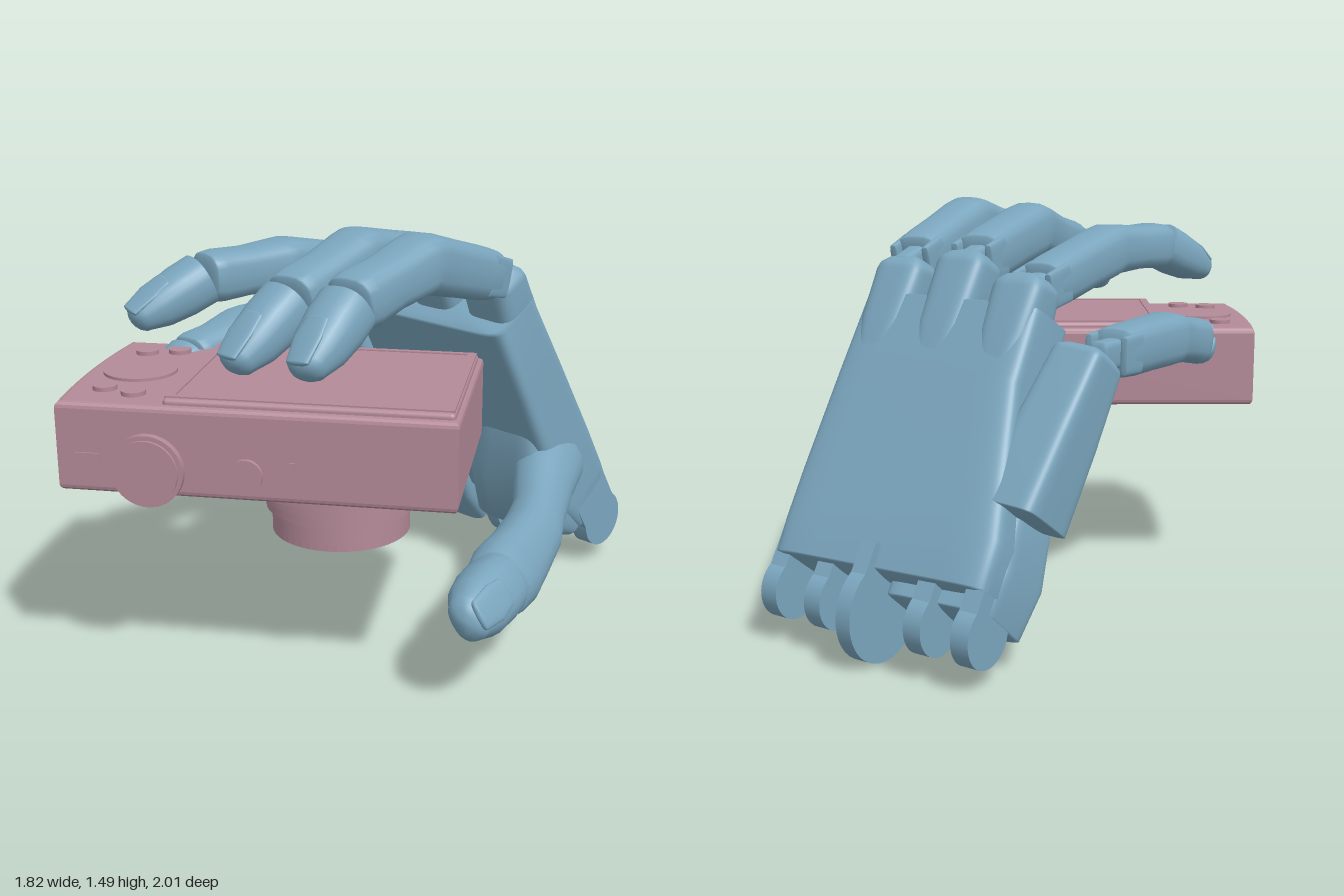
import * as THREE from 'three';
import { RoundedBoxGeometry } from 'three/addons/geometries/RoundedBoxGeometry.js';

const V = (x, y, z) => new THREE.Vector3(x, y, z);
const skin = new THREE.MeshStandardMaterial({ color: 0x7ba6be });
const pink = new THREE.MeshStandardMaterial({ color: 0xb48a98 });

// Hand frame: w runs across the palm to the thumb side, u to the fingers, p out of the palm
const w = V(0.82, 0, 0.57).normalize();
const u = V(-0.32, 0.85, 0.42);
u.addScaledVector(w, -u.dot(w)).normalize();
const p = w.clone().cross(u);

function add(parent, name, geo, mat, x = 0, y = 0, z = 0) {
  const mesh = new THREE.Mesh(geo, mat);
  mesh.name = name;
  mesh.position.set(x, y, z);
  parent.add(mesh);
  return mesh;
}

// Skin through superellipse sections [centre, halfWidth, halfHeight], with rounded ends
function loft(stations, sideRef, { power = 2.6, sides = 24, cap = [0.3, 0.3] } = {}) {
  const n = stations.length;
  const tangentAt = (i) => stations[Math.min(n - 1, i + 1)][0].clone()
    .sub(stations[Math.max(0, i - 1)][0]).normalize();
  const rings = stations.map(([c, a, b], i) => ({ c, a, b, t: tangentAt(i) }));
  const round = (r, sign, len) => [0.35, 0.7, 0.9, 0.99].map((s) => {
    const k = Math.sqrt(1 - s * s), d = sign * s * len * Math.min(r.a, r.b);
    return { c: r.c.clone().addScaledVector(r.t, d), a: r.a * k, b: r.b * k, t: r.t };
  });
  const all = [...round(rings[0], -1, cap[0]).reverse(), ...rings, ...round(rings[n - 1], 1, cap[1])];
  const pos = [], idx = [];
  const bend = (v) => Math.sign(v) * Math.abs(v) ** (2 / power);
  for (const { c, a, b, t } of all) {
    const side = sideRef.clone().addScaledVector(t, -sideRef.dot(t)).normalize();
    const up = side.clone().cross(t);
    for (let j = 0; j < sides; j++) {
      const q = (j / sides) * Math.PI * 2;
      const v = c.clone().addScaledVector(side, a * bend(Math.cos(q))).addScaledVector(up, b * bend(Math.sin(q)));
      pos.push(v.x, v.y, v.z);
    }
  }
  const last = (all.length - 1) * sides, c0 = all.length * sides;
  pos.push(...all[0].c.toArray(), ...all[all.length - 1].c.toArray());
  for (let j = 0; j < sides; j++) {
    const k = (j + 1) % sides;
    for (let i = 0; i < last; i += sides) {
      idx.push(i + j, i + sides + j, i + k, i + k, i + sides + j, i + sides + k);
    }
    idx.push(c0, j, k, c0 + 1, last + k, last + j);
  }
  const geo = new THREE.BufferGeometry();
  geo.setAttribute('position', new THREE.Float32BufferAttribute(pos, 3));
  geo.setIndex(idx);
  geo.computeVertexNormals();
  return geo;
}

// Fingertip with its nail on the upper side
function fingertip(parent, from, to, r, side) {
  const at = (k) => from.clone().lerp(to, k);
  add(parent, 'fingertip', loft([[at(0.04), r * 0.95, r * 0.95], [at(0.35), r * 0.97, r * 0.92],
    [at(0.7), r * 0.9, r * 0.78], [at(0.95), r * 0.7, r * 0.54]], side, { power: 2.4, cap: [0.15, 0.8] }), skin);
  const t = to.clone().sub(from).normalize();
  const up = side.clone().addScaledVector(t, -side.dot(t)).normalize().cross(t);
  const nail = (k, lift, a) => [at(k).addScaledVector(up, r * lift), r * a, r * 0.12];
  add(parent, 'nail', loft([nail(0.5, 0.77, 0.45), nail(0.75, 0.65, 0.55), nail(1.05, 0.42, 0.45)], side,
    { power: 2.3, cap: [1, 0.8] }), skin);
}

function finger(parent, name, K, P, D, T, r) {
  const g = new THREE.Group();
  g.name = name;
  parent.add(g);
  const side = w.clone().negate();
  const kp = (k) => K.clone().lerp(P, k), pd = (k) => P.clone().lerp(D, k);
  // Narrow tongue and two cheeks at the knuckle
  add(g, 'knuckleTongue', loft([[kp(-0.1), r * 0.4, r * 0.55], [kp(0.25), r * 0.4, r * 0.55]], side, { power: 4 }), skin);
  for (const s of [-1, 1]) {
    const off = (k) => kp(k).addScaledVector(w, s * r * 0.74);
    add(g, 'knuckleCheek', loft([[off(0.02), r * 0.15, r * 0.7], [off(0.25), r * 0.18, r * 0.75]], side, { power: 4 }), skin);
  }
  add(g, 'phalanges', loft([[kp(0.14), r * 0.92, r * 0.9], [kp(0.3), r * 0.95, r * 0.96], [kp(0.6), r * 0.94, r * 0.98],
    [kp(0.92), r, r * 1.02], [P, r, r], [pd(0.08), r, r * 0.98],
    [pd(0.5), r * 0.92, r * 0.88], [pd(0.85), r * 0.97, r * 0.93], [pd(0.97), r * 0.92, r * 0.88]],
  side, { power: 3, sides: 20, cap: [0.2, 0.2] }), skin);
  fingertip(g, D, T, r, side);
}

function buildPalm(hand) {
  const g = new THREE.Group();
  g.name = 'palm';
  g.position.set(0.5, 0.2, -0.7);
  g.quaternion.setFromRotationMatrix(new THREE.Matrix4().makeBasis(w, u, p));
  hand.add(g);
  // Rows are [y, left, right, back, front] in the hand frame
  const section = ([y, x0, x1, z0, z1]) => [V((x0 + x1) / 2, y, (z0 + z1) / 2), (x1 - x0) / 2, (z1 - z0) / 2];
  const block = (name, rows, cap, power = 9) => add(g, name,
    loft(rows.map(section), V(-1, 0, 0), { power, sides: 64, cap }), skin);
  block('palmBody', [[0.1, -0.44, 0.45, -0.09, 0.18], [0.25, -0.44, 0.46, -0.095, 0.22],
    [0.45, -0.4, 0.46, -0.1, 0.2], [0.8, -0.32, 0.45, -0.1, 0.17], [1.09, -0.31, 0.44, -0.1, 0.15]], [0.1, 0.15]);
  block('littleFingerMetacarpal', [[0.4, -0.53, -0.3, -0.09, 0.19], [0.7, -0.545, -0.32, -0.06, 0.19],
    [0.97, -0.56, -0.36, -0.03, 0.17]], [0.1, 0.5], 6);
  // Knuckle lobes of the three longer fingers
  for (const [x, y] of [[0.33, 1.19], [0.07, 1.23], [-0.2, 1.16]]) {
    block('knuckleLobe', [[0.8, x - 0.06, x + 0.06, -0.09, 0.1], [1.0, x - 0.1, x + 0.1, -0.11, 0.1],
      [y, x - 0.105, x + 0.105, -0.115, 0.06]], [0.1, 0.8], 4);
  }
  // Thumb mount and heel on the two sides of the wrist
  block('thumbMount', [[0.1, 0.08, 0.44, 0, 0.22], [0.25, 0.08, 0.45, 0, 0.335], [0.4, 0.1, 0.45, 0, 0.3],
    [0.6, 0.16, 0.42, 0, 0.18]], [0.2, 0.2], 5);
  block('palmHeel', [[0.04, -0.44, -0.02, -0.02, 0.25], [0.2, -0.45, 0, 0, 0.28], [0.4, -0.43, 0, 0, 0.25],
    [0.6, -0.36, -0.05, 0, 0.17]], [0.1, 0.3], 8);
  // Wrist lugs and the central hinge disc
  const lug = (name, x, r, width) => {
    add(g, name, new THREE.CylinderGeometry(r, r, width, 40), skin, x, 0, 0.04).rotation.z = Math.PI / 2;
    add(g, name + 'Root', new THREE.BoxGeometry(width, 0.18, r * 1.8), skin, x, 0.1, 0.04);
  };
  for (const x of [-0.4, -0.21, 0.22, 0.42]) lug('wristLug', x, 0.11, 0.07);
  lug('wristDisc', 0.02, 0.18, 0.06);
}

function buildThumb(hand) {
  const g = new THREE.Group();
  g.name = 'thumb';
  hand.add(g);
  const side = V(-0.5, 0.8, 0);
  add(g, 'thumbPhalanges', loft([[V(0.62, 0.46, -0.36), 0.14, 0.13], [V(0.63, 0.475, -0.24), 0.145, 0.13],
    [V(0.625, 0.435, -0.08), 0.12, 0.1], [V(0.62, 0.395, 0.1), 0.1, 0.09], [V(0.605, 0.37, 0.24), 0.11, 0.1],
    [V(0.57, 0.35, 0.4), 0.12, 0.1], [V(0.535, 0.345, 0.55), 0.13, 0.11], [V(0.52, 0.345, 0.63), 0.12, 0.105]],
  side, { power: 2.3, cap: [0.6, 0.2] }), skin);
  fingertip(g, V(0.51, 0.35, 0.65), V(0.45, 0.355, 0.92), 0.115, side);
}

function buildCamera(parent) {
  const g = new THREE.Group();
  g.name = 'compactCamera';
  parent.add(g);
  const disc = (name, x, y, z, r, h) => add(g, name, new THREE.CylinderGeometry(r, r, h, 48), pink, x, y, z);
  const box = (name, sx, sy, sz, x, y, z) => add(g, name, new THREE.BoxGeometry(sx, sy, sz), pink, x, y, z);
  const rect = (a, b, Type) => new Type([[-a, -b], [a, -b], [a, b], [-a, b]].map((q) => new THREE.Vector2(...q)));
  // Body with a bowed end
  const s = new THREE.Shape();
  s.moveTo(-0.865, -0.19);
  s.quadraticCurveTo(-0.905, -0.54, -0.865, -0.89);
  s.lineTo(0.39, -0.89);
  s.lineTo(0.39, -0.19);
  const body = new THREE.ExtrudeGeometry(s, { depth: 0.26, bevelSize: 0.02, bevelThickness: 0.02, bevelSegments: 3, curveSegments: 16 });
  add(g, 'body', body.rotateX(-Math.PI / 2), pink, 0, 0.72, 0);
  // Screen with a raised frame
  add(g, 'screenPanel', new RoundedBoxGeometry(0.93, 0.05, 0.69, 3, 0.015), pink, -0.07, 0.995, 0.54);
  const frame = rect(0.46, 0.33, THREE.Shape);
  frame.holes.push(rect(0.43, 0.31, THREE.Path));
  add(g, 'screenFrame', new THREE.ExtrudeGeometry(frame, { depth: 0.013, bevelEnabled: false }).rotateX(-Math.PI / 2), pink, -0.07, 1.012, 0.54);
  // Controls beside the screen
  disc('controlWheel', -0.72, 1, 0.54, 0.125, 0.02);
  for (const [x, z] of [[-0.77, 0.32], [-0.66, 0.29], [-0.77, 0.75], [-0.66, 0.79]]) disc('button', x, 1.002, z, 0.04, 0.025);
  // Front edge dial, button and slots
  disc('modeDial', -0.58, 0.79, 0.915, 0.12, 0.04).rotation.x = Math.PI / 2;
  disc('modeDialCap', -0.58, 0.79, 0.92, 0.105, 0.05).rotation.x = Math.PI / 2;
  disc('shutterButton', -0.26, 0.79, 0.91, 0.054, 0.03).rotation.x = Math.PI / 2;
  box('slot', 0.08, 0.03, 0.01, -0.78, 0.82, 0.91);
  box('slot', 0.02, 0.04, 0.01, -0.11, 0.82, 0.91);
  box('foot', 0.04, 0.03, 0.1, -0.44, 0.695, 0.6);
  box('hatch', 0.26, 0.02, 0.4, 0.22, 0.695, 0.54);
  // Stepped lens barrel
  [[0.32, 0.7, 0.665], [0.275, 0.68, 0.62], [0.255, 0.63, 0.575], [0.235, 0.6, 0.51]].forEach(([r, top, low]) =>
    disc('lensTier', -0.03, (top + low) / 2, 0.54, r, top - low));
  const rim = new THREE.Shape().absarc(0, 0, 0.235, 0, Math.PI * 2);
  rim.holes.push(rect(0.08, 0.06, THREE.Path));
  add(g, 'lensRim', new THREE.ExtrudeGeometry(rim, { depth: 0.025, bevelEnabled: false, curveSegments: 24 }).rotateX(-Math.PI / 2), pink, -0.03, 0.487, 0.54);
}

export function createModel() {
  const root = new THREE.Group();
  root.name = 'handHoldingCamera';
  const hand = new THREE.Group();
  hand.name = 'hand';
  root.add(hand);
  buildPalm(hand);
  buildThumb(hand);
  finger(hand, 'indexFinger', V(0.42, 1.26, 0.02), V(0.215, 1.385, 0.43), V(0.04, 1.31, 0.74), V(-0.055, 1.16, 0.95), 0.1);
  finger(hand, 'middleFinger', V(0.19, 1.28, -0.13), V(-0.02, 1.37, 0.3), V(-0.18, 1.28, 0.6), V(-0.315, 1.125, 0.8), 0.1);
  finger(hand, 'ringFinger', V(-0.02, 1.2, -0.3), V(-0.31, 1.305, 0.15), V(-0.53, 1.3, 0.39), V(-0.715, 1.19, 0.55), 0.094);
  finger(hand, 'littleFinger', V(-0.27, 1.0, -0.43), V(-0.52, 0.995, -0.02), V(-0.65, 0.95, 0.2), V(-0.71, 0.89, 0.32), 0.095);
  buildCamera(root);
  return root;
}
